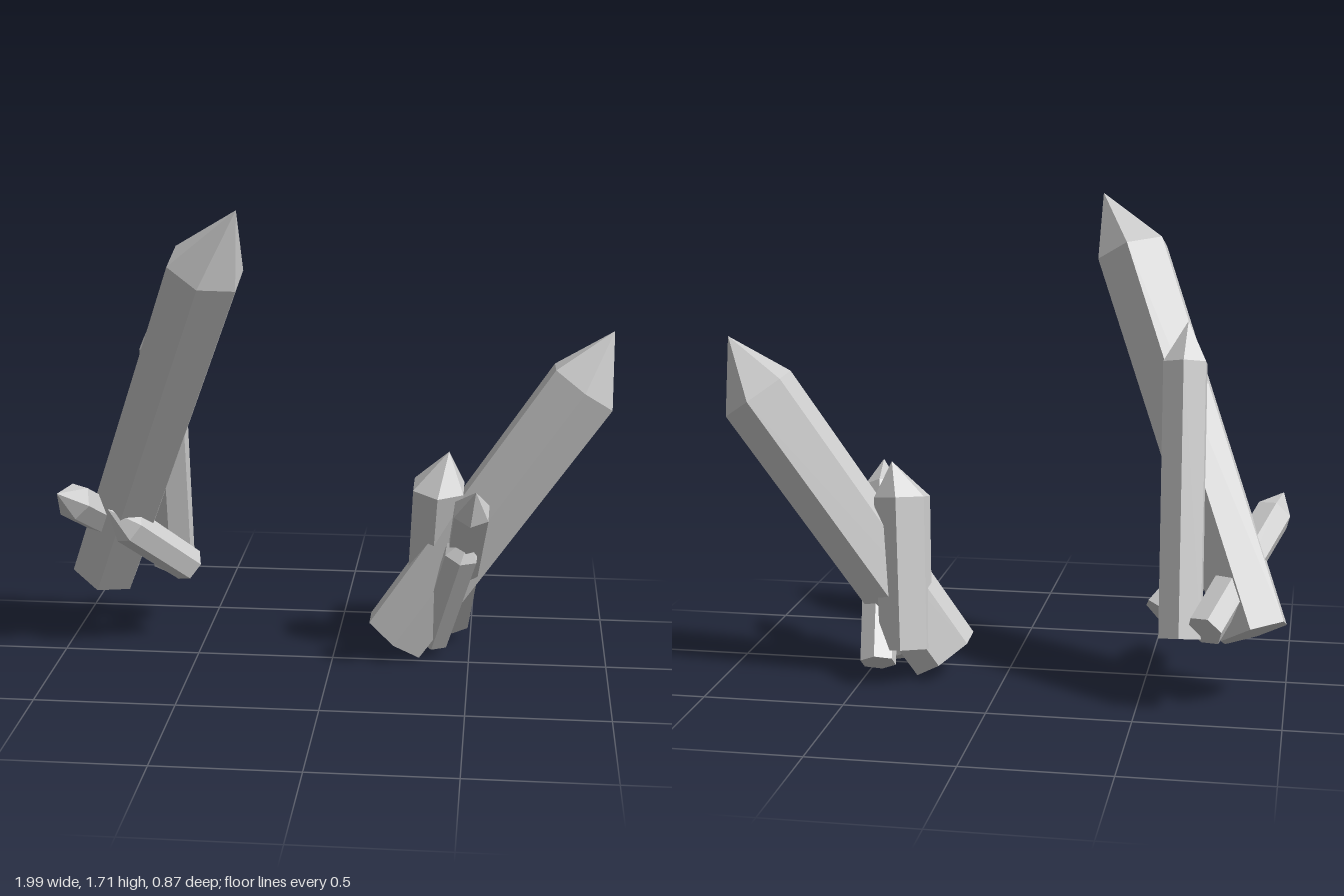
import * as THREE from 'three';

const UP = new THREE.Vector3(0, 1, 0);
const material = new THREE.MeshStandardMaterial({ color: 0xcccccc, flatShading: true });

// Six-sided crystal: flat base, slightly flared shaft, pointed tip that may sit off axis
function crystal(name, base, shoulder, tip, baseRadius, shoulderRadius) {
  const start = new THREE.Vector3(...base);
  const axis = new THREE.Vector3(...shoulder).sub(start);
  const length = axis.length();
  const turn = new THREE.Quaternion().setFromUnitVectors(UP, axis.normalize());
  const apex = new THREE.Vector3(...tip).sub(start).applyQuaternion(turn.clone().invert());

  const profile = [[0, 0], [baseRadius, 0], [shoulderRadius, length], [0, apex.y]];
  const geometry = new THREE.LatheGeometry(profile.map(([r, y]) => new THREE.Vector2(r, y)), 6);

  // Every last profile point is a copy of the apex
  const position = geometry.attributes.position;
  for (let i = profile.length - 1; i < position.count; i += profile.length) {
    position.setXYZ(i, apex.x, apex.y, apex.z);
  }

  const mesh = new THREE.Mesh(geometry, material);
  mesh.name = name;
  mesh.position.copy(start);
  mesh.quaternion.copy(turn);
  return mesh;
}

function cluster(name, crystals) {
  const group = new THREE.Group();
  group.name = name;
  crystals.forEach((c) => group.add(crystal(...c)));
  return group;
}

export function createModel() {
  const model = new THREE.Group();
  model.name = 'crystals';

  // name, base centre, shoulder centre, tip, base radius, shoulder radius
  model.add(cluster('rightCluster', [
    ['tallCrystal', [-0.89, 0.25, -0.22], [-0.40, 1.50, 0.31], [-0.28, 1.71, 0.40], 0.13, 0.14],
    ['backCrystal', [-0.645, 0.25, -0.33], [-0.625, 1.16, -0.06], [-0.63, 1.30, -0.015], 0.083, 0.085],
    ['frontShard', [-0.73, 0.30, -0.39], [-0.935, 0.60, 0.07], [-0.97, 0.66, 0.18], 0.066, 0.07],
    ['sideShard', [-0.56, 0.29, -0.17], [-0.75, 0.49, 0.0], [-0.82, 0.56, 0.03], 0.066, 0.07],
  ]));

  model.add(cluster('leftCluster', [
    ['tallCrystal', [0.225, 0.072, -0.08], [0.89, 1.02, -0.13], [0.995, 1.225, -0.135], 0.13, 0.143],
    ['uprightCrystal', [0.345, 0.12, -0.19], [0.38, 0.65, -0.08], [0.415, 0.78, -0.085], 0.098, 0.105],
    ['frontShard', [0.435, 0.08, -0.25], [0.505, 0.63, 0.16], [0.52, 0.72, 0.23], 0.066, 0.07],
    ['lowShard', [0.365, 0.06, -0.09], [0.47, 0.45, 0.08], [0.50, 0.52, 0.095], 0.062, 0.066],
  ]));

  return model;
}
